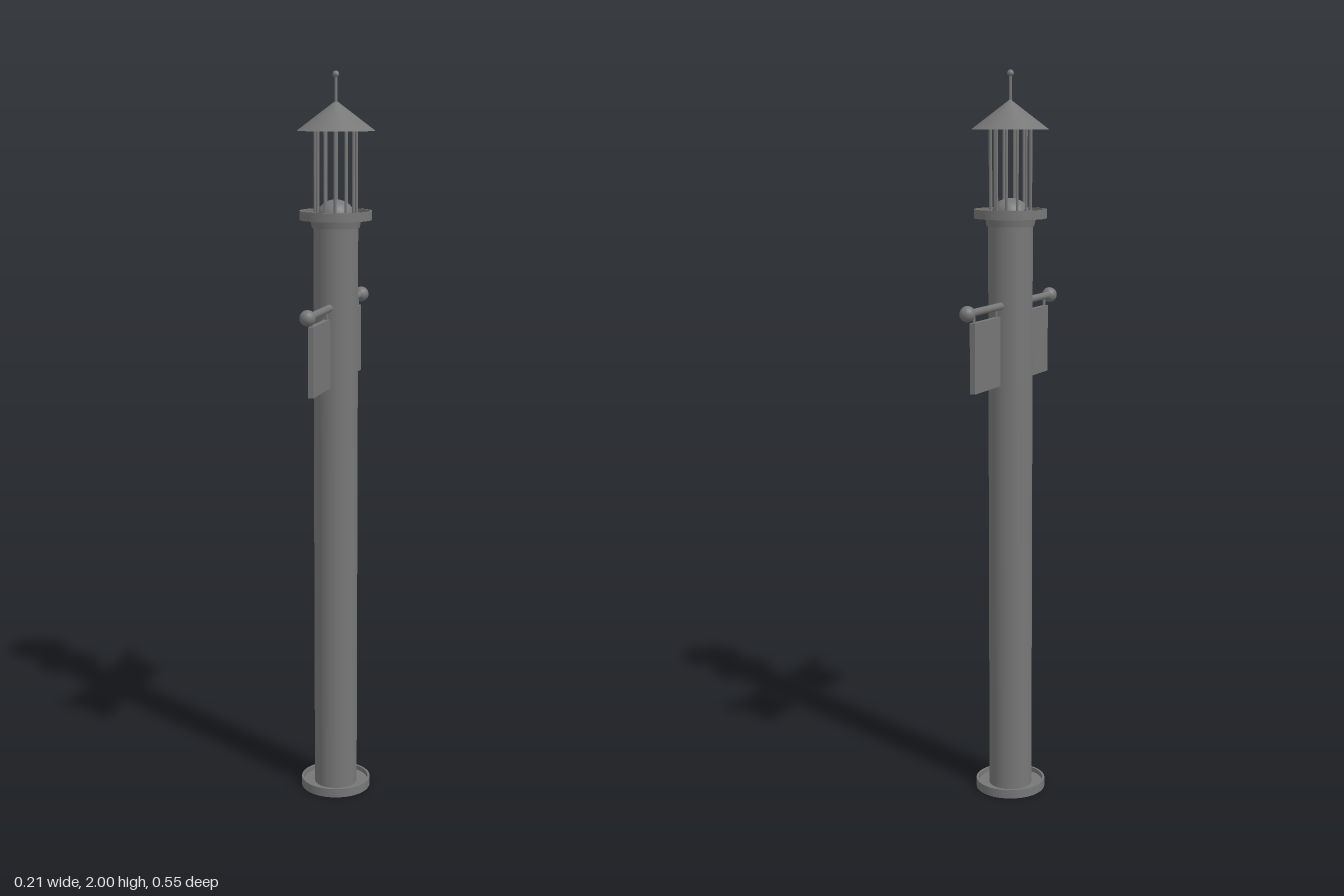
import * as THREE from 'three';

export function createModel() {
  const model = new THREE.Group();
  const darkGrey = new THREE.MeshStandardMaterial({ color: 0x777777 });

  const add = (name, geometry, x = 0, y = 0, z = 0, parent = model) => {
    const mesh = new THREE.Mesh(geometry, darkGrey);
    mesh.name = name;
    mesh.position.set(x, y, z);
    parent.add(mesh);
    return mesh;
  };
  const rod = (top, bottom, height, sides = 32) => new THREE.CylinderGeometry(top, bottom, height, sides);

  // Shallow dish: a raised rim around a solid plate
  const addDish = (name, radius, y, height, floor) => {
    const shape = new THREE.Shape().absarc(0, 0, radius, 0, Math.PI * 2);
    shape.holes.push(new THREE.Path().absarc(0, 0, radius - 0.006, 0, Math.PI * 2, true));
    const rim = new THREE.ExtrudeGeometry(shape, { depth: height, bevelEnabled: false, curveSegments: 32 });
    rim.rotateX(-Math.PI / 2);
    add(name + 'Rim', rim, 0, y);
    add(name + 'Plate', rod(radius - 0.005, radius - 0.005, floor, 48), 0, y + floor / 2);
  };

  // Base and tall column
  addDish('base', 0.097, 0, 0.025, 0.012);
  add('column', rod(0.06, 0.06, 1.61, 48), 0, 0.81);
  add('collar', rod(0.068, 0.064, 0.022, 48), 0, 1.603);

  // Gallery and the low dome of the lamp
  addDish('gallery', 0.097, 1.613, 0.024, 0.012);
  const dome = new THREE.SphereGeometry(0.05, 32, 8, 0, Math.PI * 2, 0, Math.PI / 2);
  dome.scale(1, 0.85, 1);
  add('lampDome', dome, 0, 1.624);

  // Ring of lantern bars
  const bars = new THREE.Group();
  bars.name = 'lanternBars';
  model.add(bars);
  for (let i = 0; i < 12; i++) {
    const a = ((i + 0.5) / 12) * Math.PI * 2;
    add('lanternBar', rod(0.004, 0.004, 0.226, 8), Math.cos(a) * 0.055, 1.736, Math.sin(a) * 0.055, bars);
  }

  // Conical roof, slightly oval, with finial
  const roof = new THREE.ConeGeometry(0.1, 0.078, 40);
  roof.scale(1.04, 1, 0.975);
  add('roof', roof, 0, 1.885, -0.002);
  add('finialRod', rod(0.004, 0.004, 0.08, 10), 0, 1.955);
  add('finialBall', new THREE.SphereGeometry(0.009, 16, 12), 0, 1.991);

  // Front and back arms, each with a hanging banner
  for (const side of [1, -1]) {
    const arm = new THREE.Group();
    arm.name = side > 0 ? 'frontArm' : 'backArm';
    model.add(arm);
    const bar = rod(0.01, 0.01, 0.2, 16);
    bar.rotateX(Math.PI / 2);
    add('armBar', bar, 0, 1.383, side * 0.15, arm);
    add('armBall', new THREE.SphereGeometry(0.021, 24, 16), 0, 1.383, side * 0.252, arm);
    add('banner', new THREE.BoxGeometry(0.015, 0.186, 0.149), 0, 1.263, side * 0.151, arm);
    for (const z of [0.086, 0.216]) {
      add('bannerHanger', rod(0.004, 0.004, 0.03, 8), 0, 1.367, side * z, arm);
    }
  }
  return model;
}
